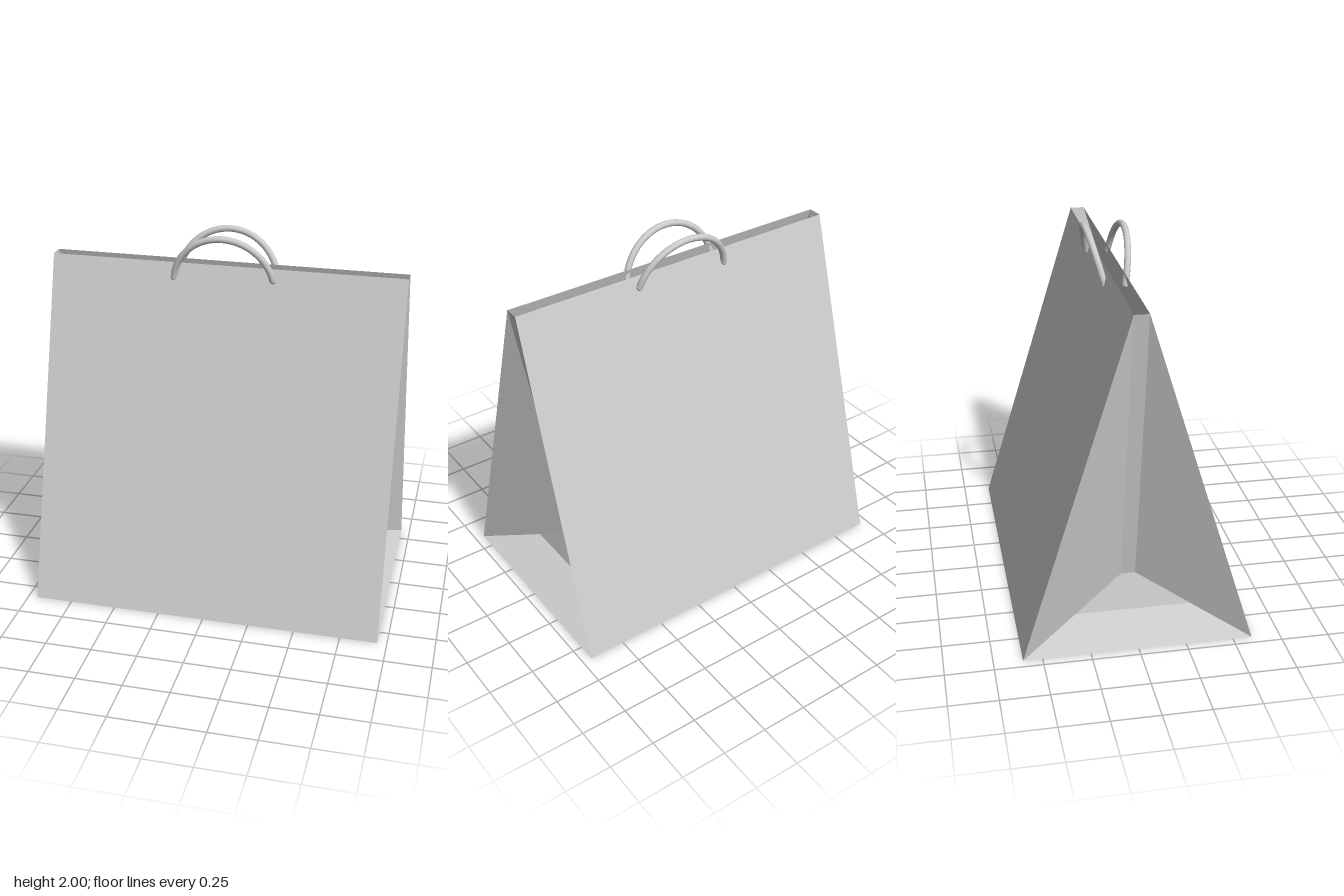
import * as THREE from 'three';

const paper = new THREE.MeshStandardMaterial({ color: 0xcccccc, flatShading: true, side: THREE.DoubleSide });
const cord = new THREE.MeshStandardMaterial({ color: 0xcccccc });

// Flat sheet from polygons, each a list of corners, fanned into triangles
function sheet(name, polygons) {
  const pos = [];
  for (const p of polygons)
    for (let i = 1; i < p.length - 1; i++) pos.push(...p[0], ...p[i], ...p[i + 1]);
  const geo = new THREE.BufferGeometry();
  geo.setAttribute('position', new THREE.Float32BufferAttribute(pos, 3));
  geo.computeVertexNormals();
  const mesh = new THREE.Mesh(geo, paper);
  mesh.name = name;
  return mesh;
}

const W = 0.95, H = 1.825, D = 0.6;     // half width, height, half depth
const zF = 0.033, zB = -0.043;          // front and back rims at the mouth

// Side gusset folded inward; s = +1 left, -1 right
function gusset(s) {
  const half = (z, rim) => ({
    base: [s * W, 0, z * D],
    top: [s * W, H, rim],
    fold: [s * 0.67, 0.285, rim],
    low: [s * 0.717, 0.092, z * 0.4],
  });
  const f = half(1, zF), b = half(-1, zB);
  const faces = [
    [f.base, f.fold, f.top], [f.base, f.low, f.fold],   // front fold
    [b.base, b.top, b.fold], [b.base, b.fold, b.low],   // back fold
    [f.top, f.fold, b.fold, b.top],                     // centre strip
    [f.fold, f.low, b.low, b.fold],                     // upper tuck
    [f.low, f.base, b.base, b.low],                     // lower tuck
  ];
  return sheet(s > 0 ? 'leftGusset' : 'rightGusset', s > 0 ? faces : faces.map(p => [...p].reverse()));
}

// Arched cord handle leaning outward from zLow at its ends to zTop at its peak
function handle(name, zLow, zTop) {
  const R = 0.27, r = 0.0175, pts = [];
  for (let i = 0; i <= 16; i++) {
    const a = THREE.MathUtils.degToRad(12 + (161 * i) / 16);
    const h = Math.sin(a);
    pts.push(new THREE.Vector3(-0.012 + R * Math.cos(a), 1.712 + R * h,
      THREE.MathUtils.mapLinear(h, 0.12, 1, zLow, zTop)));
  }
  const group = new THREE.Group();
  group.name = name;
  const arch = new THREE.Mesh(new THREE.TubeGeometry(new THREE.CatmullRomCurve3(pts), 48, r, 12), cord);
  arch.name = name + 'Cord';
  group.add(arch);
  for (const p of [pts[0], pts[16]]) {
    const end = new THREE.Mesh(new THREE.SphereGeometry(r, 12, 8), cord);
    end.name = name + 'End';
    end.position.copy(p);
    group.add(end);
  }
  return group;
}

export function createModel() {
  const bag = new THREE.Group();
  bag.name = 'paperBag';
  bag.add(
    sheet('frontPanel', [[[-W, 0, D], [W, 0, D], [W, H, zF], [-W, H, zF]]]),
    sheet('backPanel', [[[W, 0, -D], [-W, 0, -D], [-W, H, zB], [W, H, zB]]]),
    sheet('base', [[[-W, 0, -D], [W, 0, -D], [W, 0, D], [-W, 0, D]]]),
    gusset(1), gusset(-1),
    handle('frontHandle', 0.048, 0.087),
    handle('backHandle', -0.058, -0.118),
  );
  return bag;
}
